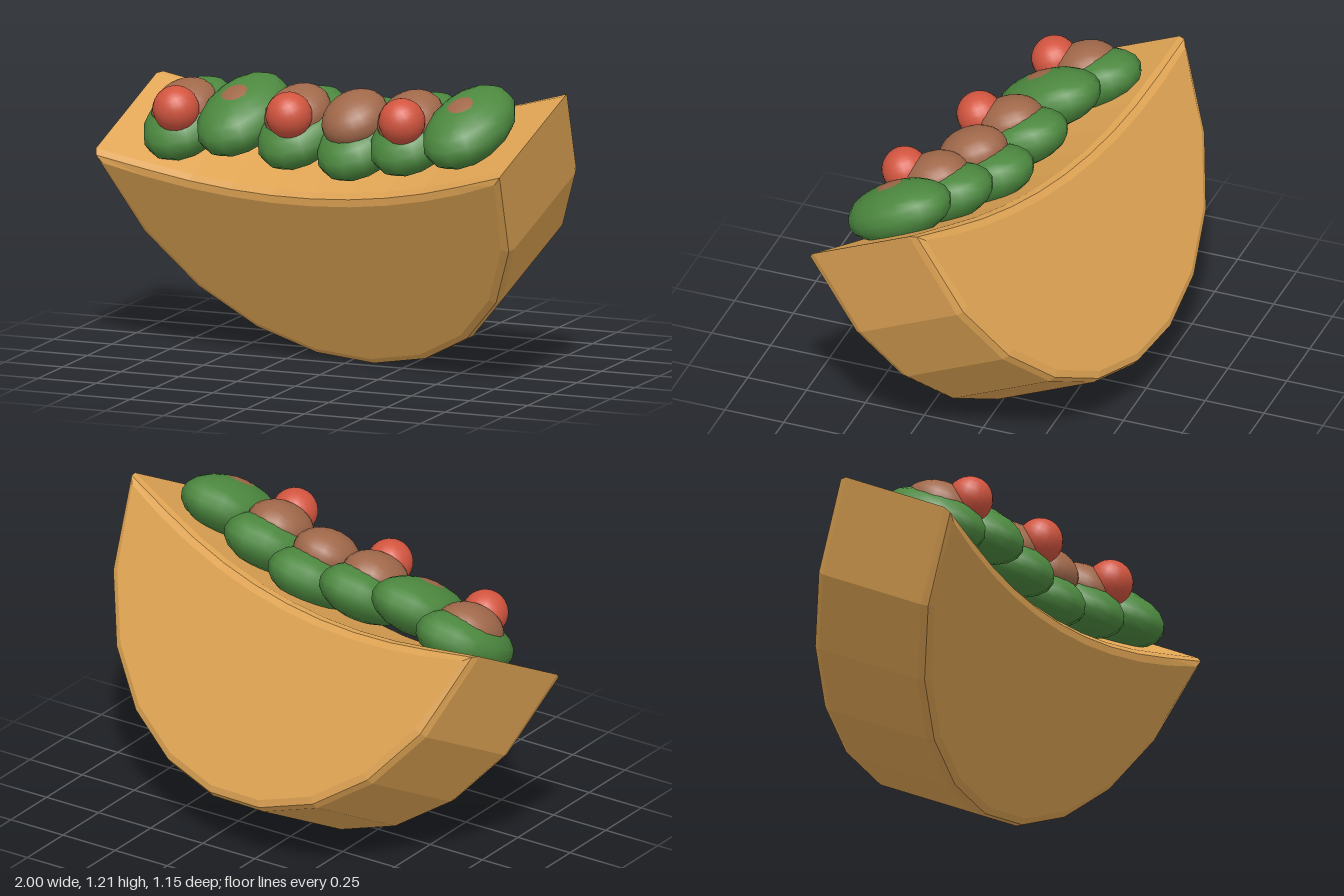
import * as THREE from 'three';

const material = (name, color) => {
  const m = new THREE.MeshStandardMaterial({ color });
  m.name = name;
  return m;
};

export function createModel() {
  const shellTan = material('shellTan', 0xdfa454);
  const leafGreen = material('leafGreen', 0x4c883f);
  const meatBrown = material('meatBrown', 0xa0684a);
  const tomatoRed = material('tomatoRed', 0xd2553f);

  const model = new THREE.Group();
  model.name = 'filledShell';

  // Everything is built upright, then tipped by these three axes
  const tilted = new THREE.Group();
  tilted.name = 'tiltedBody';
  const along = new THREE.Vector3(0.977, 0.066, 0.204).normalize();
  const up = new THREE.Vector3(-0.15, -0.461, 0.876).cross(along).normalize();
  const across = along.clone().cross(up);
  tilted.quaternion.setFromRotationMatrix(new THREE.Matrix4().makeBasis(along, up, across));
  tilted.position.set(0, 1.0, 0.13);
  model.add(tilted);

  // Shell: rounded belly below, shallow dip on top, bevelled rims
  const outline = new THREE.Shape();
  outline.moveTo(-0.947, -0.04);
  outline.bezierCurveTo(-0.76, -1.262, 0.76, -1.262, 0.947, -0.04);
  outline.quadraticCurveTo(0, -0.36, -0.947, -0.04);
  const depth = 0.5;
  const shellGeometry = new THREE.ExtrudeGeometry(outline, {
    depth, curveSegments: 10, bevelSize: 0.04, bevelThickness: 0.04, bevelSegments: 2,
  });
  shellGeometry.translate(0, 0, 0.01 - depth / 2);
  const shell = new THREE.Mesh(shellGeometry, shellTan);
  shell.name = 'shell';
  tilted.add(shell);

  // Fillings: rounded pieces in a row of six
  const pieceGeometry = new THREE.SphereGeometry(1, 14, 10);
  const smoothGeometry = new THREE.SphereGeometry(1, 20, 14);
  const addPiece = (name, geometry, mat, position, size) => {
    const piece = new THREE.Mesh(geometry, mat);
    piece.name = name;
    piece.position.set(...position);
    piece.scale.set(...size);
    tilted.add(piece);
  };

  const leafHeights = [-0.015, 0.02, -0.03, -0.07, -0.03, 0.02];
  const meatHeights = [0.042, 0.038, 0.045, 0.033, 0.045, 0.038];
  for (let i = 0; i < 6; i++) {
    const x = -0.682 + i * 0.2728;
    addPiece('lettuce', pieceGeometry, leafGreen, [x, leafHeights[i], 0.016], [0.175, 0.115, 0.238]);
    addPiece('meat', smoothGeometry, meatBrown, [x, meatHeights[i], 0.018], [0.133, 0.1, 0.148]);
    if (i % 2 === 0) {
      addPiece('tomato', smoothGeometry, tomatoRed, [x + 0.038, 0.108, 0.115], [0.093, 0.093, 0.093]);
    }
  }
  return model;
}
